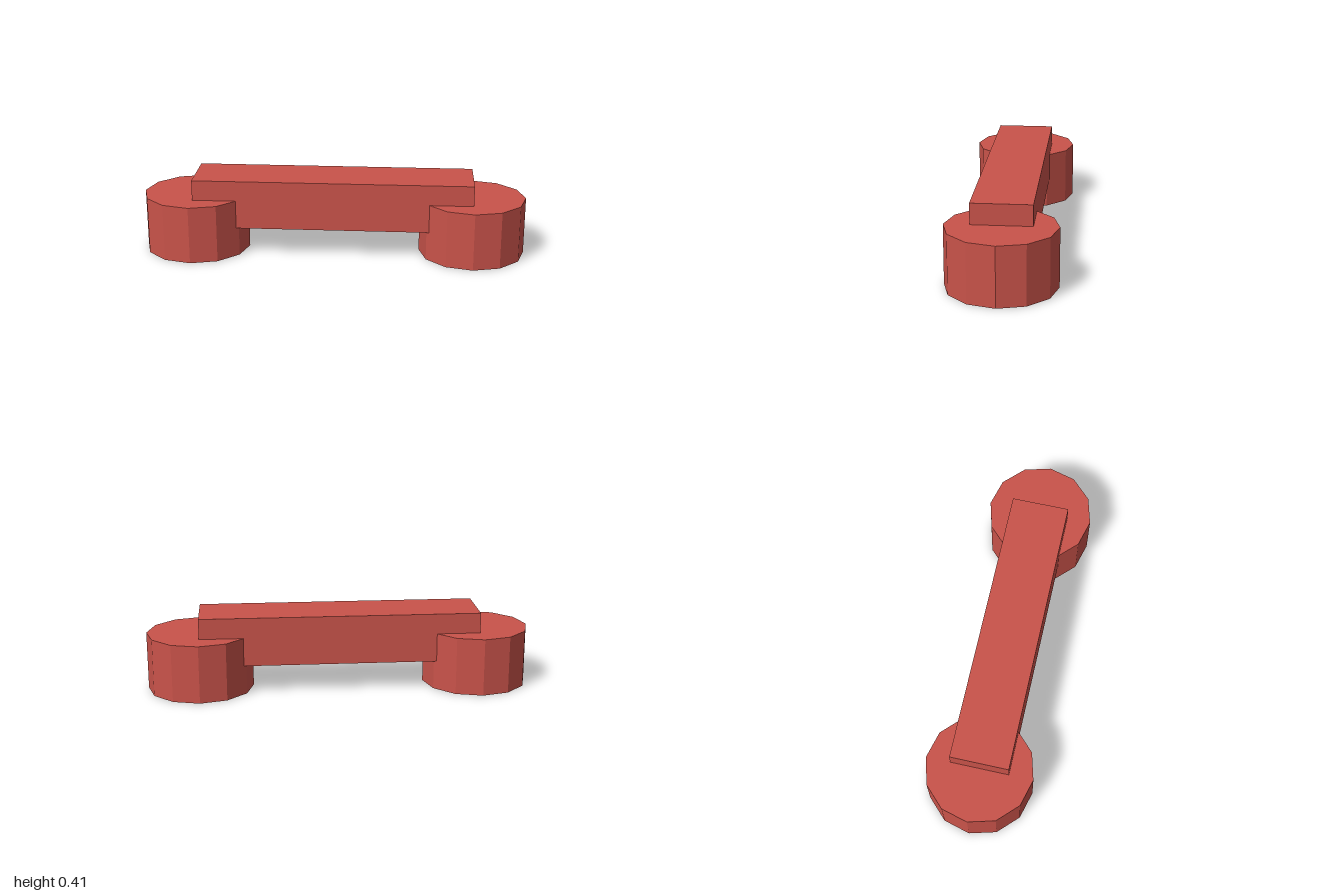
import * as THREE from 'three';

export function createModel() {
  const group = new THREE.Group();
  group.name = 'handle';
  const red = new THREE.MeshStandardMaterial({ color: 0xc9534a, flatShading: true });
  red.name = 'red';

  const radius = 0.275;
  const postX = 1 - radius;

  // Twelve-sided mounting posts, mirrored left and right
  for (const [name, side] of [['leftPost', 1], ['rightPost', -1]]) {
    const post = new THREE.Mesh(new THREE.CylinderGeometry(radius, radius, 0.3, 12), red);
    post.name = name;
    post.position.set(side * postX, 0.15, 0);
    group.add(post);
  }

  // Grip bar running between the post centres
  const bottom = 0.152, top = 0.406;
  const bar = new THREE.Mesh(new THREE.BoxGeometry(postX * 2, top - bottom, 0.3), red);
  bar.name = 'gripBar';
  bar.position.y = (top + bottom) / 2;
  group.add(bar);

  return group;
}
